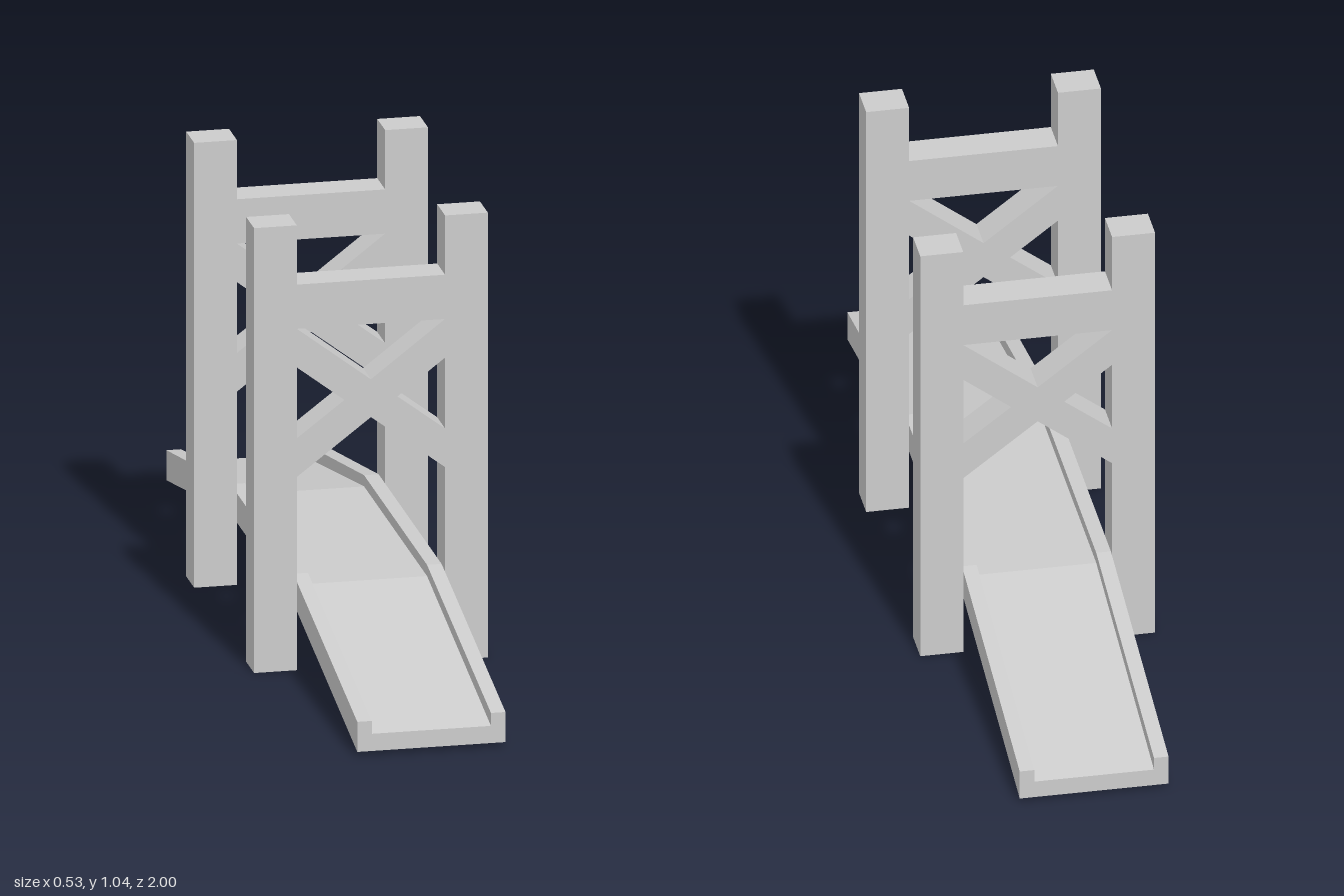
import * as THREE from 'three';

const material = new THREE.MeshStandardMaterial({ color: 0xcccccc, flatShading: true });

const INNER = 0.168;   // half width of the deck, inner face of the posts
const OUTER = 0.265;   // outer face of the posts
const RAIL = 0.135;    // inner face of the kerbs
const DEPTH = 0.083;   // tower thickness along z
const KINK = 0.33;     // where the ramps meet the level span

function addMesh(parent, name, geometry) {
  const mesh = new THREE.Mesh(geometry, material);
  mesh.name = name;
  parent.add(mesh);
  return mesh;
}

function extrude(points, depth) {
  const shape = new THREE.Shape(points.map(([x, y]) => new THREE.Vector2(x, y)));
  return new THREE.ExtrudeGeometry(shape, { depth, bevelEnabled: false });
}

// Strip of deck between two x positions: ramp, level span, ramp
function deckStrip(x0, x1, endTop, midTop) {
  const profile = [
    [-1, 0.01], [-KINK, 0.145], [KINK, 0.145], [1, 0.01],
    [1, endTop], [KINK, midTop], [-KINK, midTop], [-1, endTop],
  ];
  // Profile x runs along -z, extrusion runs along +x
  return extrude(profile, x1 - x0).rotateY(Math.PI / 2).translate(x0, 0, 0);
}

function createTower() {
  const tower = new THREE.Group();

  // Posts
  for (const [side, name] of [[1, 'leftPost'], [-1, 'rightPost']]) {
    const post = addMesh(tower, name, new THREE.BoxGeometry(OUTER - INNER, 1.036, DEPTH));
    post.position.set(side * (INNER + OUTER) / 2, 0.518, 0);
  }

  // Top beam
  const beam = addMesh(tower, 'crossBeam', new THREE.BoxGeometry(INNER * 2, 0.103, DEPTH));
  beam.position.y = 0.8465;

  // X brace as one outline, so the two diagonals join cleanly
  const brace = [
    [-INNER, 0.45], [0, 0.578], [INNER, 0.45], [INNER, 0.54], [0.06, 0.622], [INNER, 0.705],
    [INNER, 0.795], [0, 0.666], [-INNER, 0.795], [-INNER, 0.705], [-0.06, 0.622], [-INNER, 0.54],
  ];
  addMesh(tower, 'crossBrace', extrude(brace, DEPTH).translate(0, 0, -DEPTH / 2));
  return tower;
}

export function createModel() {
  const bridge = new THREE.Group();
  bridge.name = 'bridge';

  // Roadway with a raised kerb on each side
  const deck = new THREE.Group();
  deck.name = 'deck';
  addMesh(deck, 'roadway', deckStrip(-RAIL, RAIL, 0.05, 0.187));
  addMesh(deck, 'leftKerb', deckStrip(RAIL, INNER, 0.08, 0.213));
  addMesh(deck, 'rightKerb', deckStrip(-INNER, -RAIL, 0.08, 0.213));
  bridge.add(deck);

  // Towers
  for (const [z, name] of [[0.325, 'frontTower'], [-0.303, 'backTower']]) {
    const tower = createTower();
    tower.name = name;
    tower.position.z = z;
    bridge.add(tower);
  }
  return bridge;
}
